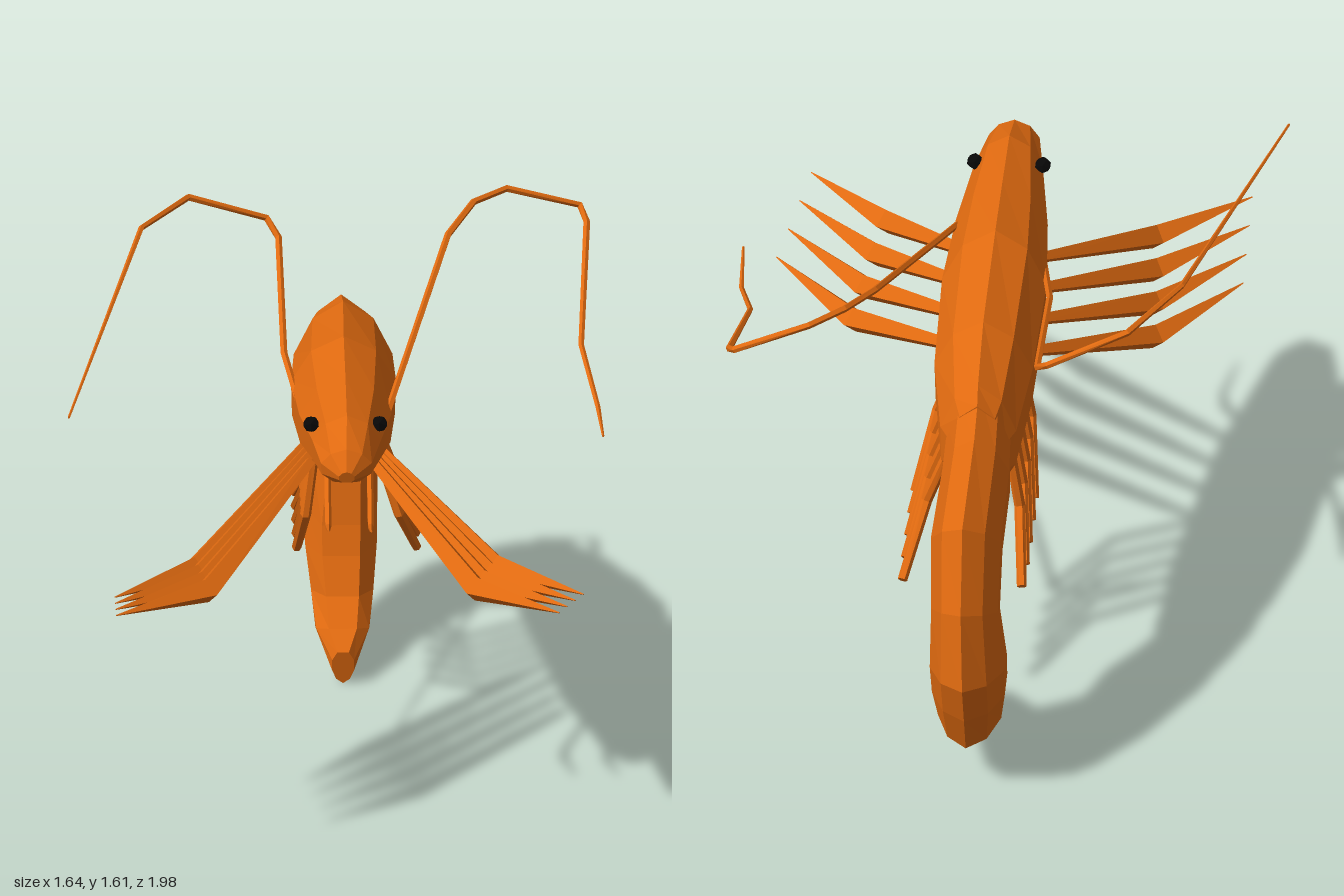
import * as THREE from 'three';

const shell = new THREE.MeshStandardMaterial({ color: 0xe06a10, flatShading: true });
shell.name = 'orange shell';
const black = new THREE.MeshStandardMaterial({ color: 0x080808, flatShading: true });
black.name = 'eye black';

const V = (x, y, z) => new THREE.Vector3(x, y, z);

// Skin a list of equal-sized rings, closing both ends
function loft(rings) {
  const pos = [];
  const tri = (...ps) => ps.forEach(p => pos.push(p.x, p.y, p.z));
  const n = rings[0].length;
  const centre = r => r.reduce((s, p) => s.add(p), V(0, 0, 0)).divideScalar(n);
  const first = rings[0], last = rings[rings.length - 1];
  const c0 = centre(first), c1 = centre(last);
  for (let i = 0; i < n; i++) {
    const j = (i + 1) % n;
    for (let k = 0; k < rings.length - 1; k++) {
      const a = rings[k], b = rings[k + 1];
      tri(a[i], a[j], b[i]);
      tri(a[j], b[j], b[i]);
    }
    tri(c0, first[j], first[i]);
    tri(c1, last[i], last[j]);
  }
  const g = new THREE.BufferGeometry();
  g.setAttribute('position', new THREE.Float32BufferAttribute(pos, 3));
  g.computeVertexNormals();
  return g;
}

// Jointed limb: rings set square to the path, with one radius per joint
function limb(points, radii, sides, ref) {
  return loft(points.map((p, k) => {
    const before = points[Math.max(k - 1, 0)], after = points[Math.min(k + 1, points.length - 1)];
    const d = V(0, 0, 0);
    if (before !== p) d.add(p.clone().sub(before).normalize());
    if (after !== p) d.add(after.clone().sub(p).normalize());
    d.normalize();
    const v = d.clone().cross(ref).normalize();
    const u = v.clone().cross(d);
    return Array.from({ length: sides }, (_, i) => {
      const a = i / sides * Math.PI * 2;
      return p.clone().addScaledVector(u, Math.cos(a) * radii[k]).addScaledVector(v, Math.sin(a) * radii[k]);
    });
  }));
}

// Body stations: back z, back y, belly z, belly y, half width, centre x
const HEAD = [
  [0.785, 1.33, 0.775, 1.29, 0.025, 0.025],
  [0.74, 1.385, 0.71, 1.26, 0.08, 0.025],
  [0.60, 1.43, 0.54, 1.20, 0.108, 0.028],
  [0.36, 1.437, 0.30, 1.11, 0.145, 0.027],
  [0.10, 1.445, 0.02, 1.045, 0.165, 0.025],
  [-0.27, 1.375, -0.25, 0.96, 0.155, 0.028],
  [-0.48, 1.29, -0.46, 0.885, 0.12, 0.025],
  [-0.54, 1.255, -0.50, 0.91, 0.09, 0.022],
];
const TAIL = [
  [-0.48, 1.28, -0.46, 0.92, 0.10, 0.022],
  [-0.635, 1.20, -0.505, 0.84, 0.105, 0.022],
  [-0.84, 1.01, -0.57, 0.71, 0.11, 0.04],
  [-0.95, 0.76, -0.65, 0.59, 0.105, 0.035],
  [-0.99, 0.50, -0.615, 0.43, 0.117, 0.027],
  [-0.925, 0.34, -0.585, 0.34, 0.115, 0.027],
  [-0.835, 0.17, -0.53, 0.23, 0.10, 0.03],
  [-0.62, 0.085, -0.45, 0.16, 0.085, 0.03],
  [-0.40, 0.0, -0.38, 0.115, 0.035, 0.03],
];
const SECTION = [[0, 1], [0.6, 0.72], [0.97, 0.15], [0.95, -0.5], [0.5, -1],
  [-0.5, -1], [-0.95, -0.5], [-0.97, 0.15], [-0.6, 0.72]];

function bodyRings(stations) {
  return stations.map(([tz, ty, bz, by, w, cx]) => SECTION.map(([u, v]) =>
    V(cx + u * w, (ty + by) / 2 + v * (ty - by) / 2, (tz + bz) / 2 + v * (tz - bz) / 2)));
}

export function createModel() {
  const model = new THREE.Group();
  model.name = 'shrimp';
  const add = (name, geometry, material = shell) => {
    const mesh = new THREE.Mesh(geometry, material);
    mesh.name = name;
    model.add(mesh);
    return mesh;
  };
  const X = V(1, 0, 0), Y = V(0, 1, 0);

  add('carapace', loft(bodyRings(HEAD)));
  add('tail', loft(bodyRings(TAIL)));

  for (const s of [1, -1]) {
    const side = s > 0 ? 'left' : 'right';

    // Eye
    add(side + 'Eye', new THREE.IcosahedronGeometry(0.027, 0), black)
      .position.set(s > 0 ? 0.128 : -0.08, 1.37, 0.54);

    // Four blade-shaped walking legs, front to rear
    for (let i = 0; i < 4; i++) {
      const root = V(s > 0 ? 0.11 : -0.08, 1.15 - i * 0.034, 0.36 - i * 0.113);
      const knee = V(s > 0 ? 0.42 + i * 0.022 : -0.40 - i * 0.01, 0.93 - i * 0.036, 0.79 - i * 0.12);
      const tip = V(s > 0 ? 0.67 + i * 0.026 : -0.68, 0.95 - i * 0.032, 0.99 - i * 0.103);
      add(side + 'WalkingLeg' + (i + 1), limb([root, knee, tip], [0.018, 0.042, 0.002], 4, Y));
    }

    // Five bent swimming legs
    for (let i = 0; i < 5; i++) {
      const root = V(s > 0 ? 0.11 : -0.055, 1.07 - i * 0.025, -i * 0.083);
      const knee = V(s > 0 ? 0.195 : -0.09, 0.80 - i * 0.017, 0.03 - i * 0.092);
      const tip = V(s > 0 ? 0.25 : -0.115, 0.605 - i * 0.006, -0.13 - i * 0.104);
      add(side + 'SwimmingLeg' + (i + 1), limb([root, knee, tip], [0.016, 0.017, 0.015], 6, X));
    }

    // Short feeler under the mouth
    const fx = s > 0 ? 0.1 : -0.03;
    add(side + 'Feeler', limb([V(fx, 1.18, 0.44), V(fx, 1.08, 0.58), V(fx, 1.07, 0.64), V(fx, 1.12, 0.77)],
      [0.011, 0.011, 0.01, 0.004], 5, X));
  }

  // Long swept antennae, each with its own bend
  add('leftAntenna', limb([
    V(0.12, 1.25, 0.45), V(0.35, 1.55, -0.37), V(0.43, 1.585, -0.52), V(0.53, 1.583, -0.61),
    V(0.755, 1.505, -0.65), V(0.775, 1.47, -0.6), V(0.752, 1.28, -0.15), V(0.80, 1.185, 0.08), V(0.813, 1.19, 0.28),
  ], [0.011, 0.011, 0.011, 0.011, 0.011, 0.011, 0.009, 0.008, 0.004], 5, Y));
  add('rightAntenna', limb([
    V(-0.07, 1.22, 0.45), V(-0.155, 1.31, -0.05), V(-0.165, 1.44, -0.57), V(-0.20, 1.485, -0.615),
    V(-0.44, 1.585, -0.56), V(-0.585, 1.6, -0.33), V(-0.82, 1.47, 0.68),
  ], [0.011, 0.011, 0.011, 0.011, 0.011, 0.009, 0.004], 5, Y));

  return model;
}
